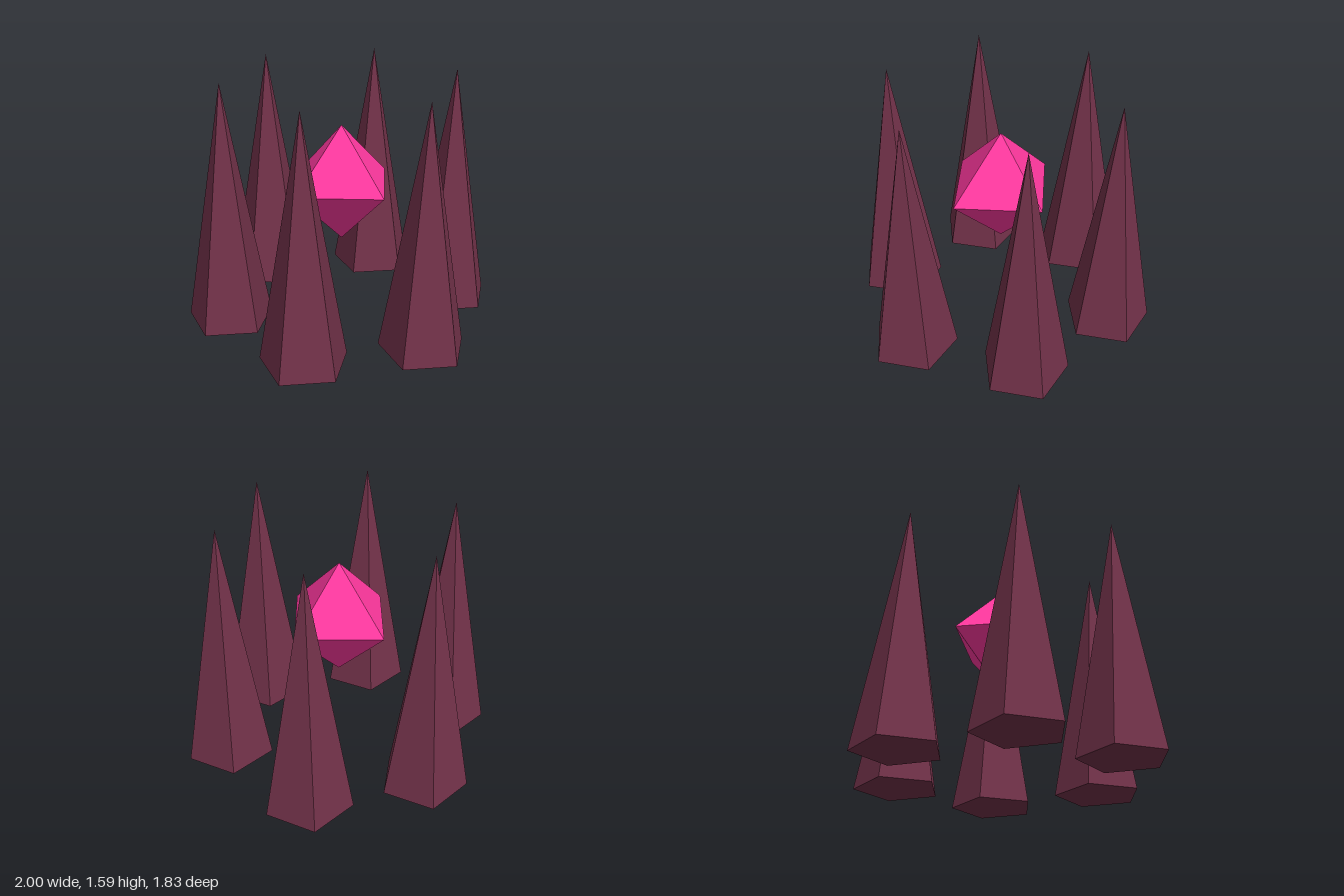
import * as THREE from 'three';

const SPIKES = 6;
const RING = 0.745;      // ring radius
const CENTRE_X = -0.027; // ring centre, so the pentagon corners span -1..1

export function createModel() {
  const model = new THREE.Group();
  model.name = 'crystalRing';

  const spikeMaterial = new THREE.MeshStandardMaterial({ color: 0x73324a, flatShading: true });
  const gemMaterial = new THREE.MeshStandardMaterial({ color: 0xff389f, flatShading: true });

  // Five-sided spikes, each with one corner pointing to +x
  const height = 1.59;
  const spikeGeometry = new THREE.ConeGeometry(0.282, height, 5, 1, false, Math.PI / 2);
  spikeGeometry.translate(0, height / 2, 0);
  for (let i = 0; i < SPIKES; i++) {
    const angle = (i / SPIKES) * Math.PI * 2;
    const spike = new THREE.Mesh(spikeGeometry, spikeMaterial);
    spike.name = `spike${i + 1}`;
    spike.position.set(CENTRE_X + RING * Math.cos(angle), 0, RING * Math.sin(angle));
    model.add(spike);
  }

  // Floating gem in the middle
  const gem = new THREE.Mesh(new THREE.OctahedronGeometry(0.387), gemMaterial);
  gem.name = 'floatingGem';
  gem.position.set(CENTRE_X, 0.887, 0);
  model.add(gem);

  return model;
}
